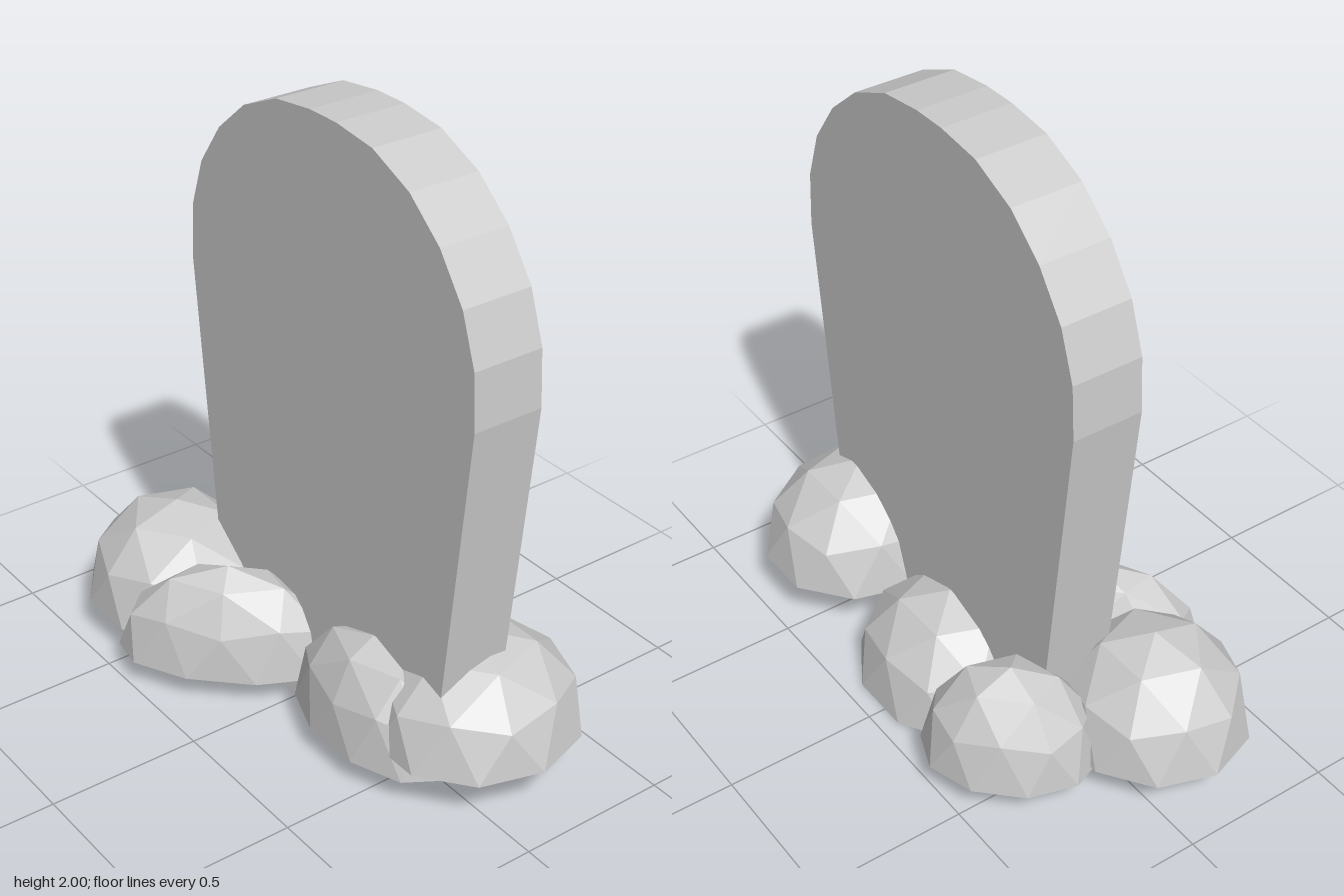
import * as THREE from 'three';

// Upper half of a faceted sphere with a vertex at the top, open below
function makeDome() {
  const ball = new THREE.IcosahedronGeometry(1, 1);
  ball.rotateZ(Math.atan(2 / (1 + Math.sqrt(5))));
  const p = ball.attributes.position;
  const kept = [];
  for (let i = 0; i < p.count; i += 3) {
    if (p.getY(i) + p.getY(i + 1) + p.getY(i + 2) < 0.01) continue;
    for (let k = i; k < i + 3; k++) kept.push(p.getX(k), p.getY(k), p.getZ(k));
  }
  const dome = new THREE.BufferGeometry();
  dome.setAttribute('position', new THREE.Float32BufferAttribute(kept, 3));
  dome.computeVertexNormals();
  return dome;
}

export function createModel() {
  const group = new THREE.Group();
  const stone = new THREE.MeshStandardMaterial({ color: 0xcccccc, flatShading: true });
  const rockMaterial = new THREE.MeshStandardMaterial({
    color: 0xcccccc, flatShading: true, side: THREE.DoubleSide,
  });

  // Upright slab: half profile [half width, height], mirrored, rounded at the top
  const half = [
    [0.55, 0.17], [0.675, 1.32], [0.665, 1.5], [0.61, 1.66],
    [0.51, 1.8], [0.38, 1.91], [0.22, 1.98], [0.06, 2],
  ];
  const outline = [
    ...half.map(([w, y]) => new THREE.Vector2(w, y)),
    ...half.slice().reverse().map(([w, y]) => new THREE.Vector2(-w, y)),
  ];
  const slabGeometry = new THREE.ExtrudeGeometry(new THREE.Shape(outline), {
    depth: 0.235, bevelEnabled: false,
  });
  slabGeometry.rotateY(Math.PI / 2);
  const slab = new THREE.Mesh(slabGeometry, stone);
  slab.name = 'slab';
  slab.position.set(-0.075, 0, 0.1);
  group.add(slab);

  // Rocks round the foot: centre, radii and turn about y
  const turn = Math.PI / 4;
  const rocks = [
    { name: 'frontRock', at: [0.135, 0.165, 0.59], size: [0.34, 0.33, 0.315], yaw: 0 },
    { name: 'leftRock', at: [0.165, 0, 0.03], size: [0.29, 0.342, 0.34], yaw: 0 },
    { name: 'backLeftRock', at: [0.27, 0.105, -0.445], size: [0.21, 0.335, 0.28], yaw: turn },
    { name: 'backRock', at: [-0.16, 0.12, -0.59], size: [0.305, 0.34, 0.32], yaw: 0 },
    { name: 'rightRock', at: [-0.22, 0.095, -0.205], size: [0.165, 0.335, 0.365], yaw: turn },
    { name: 'frontRightRock', at: [-0.08, 0.095, 0.36], size: [0.17, 0.335, 0.33], yaw: 0 },
  ];
  const dome = makeDome();
  for (const { name, at, size, yaw } of rocks) {
    const rock = new THREE.Mesh(dome, rockMaterial);
    rock.name = name;
    rock.position.set(...at);
    rock.scale.set(...size);
    rock.rotation.y = yaw;
    group.add(rock);
  }
  return group;
}
